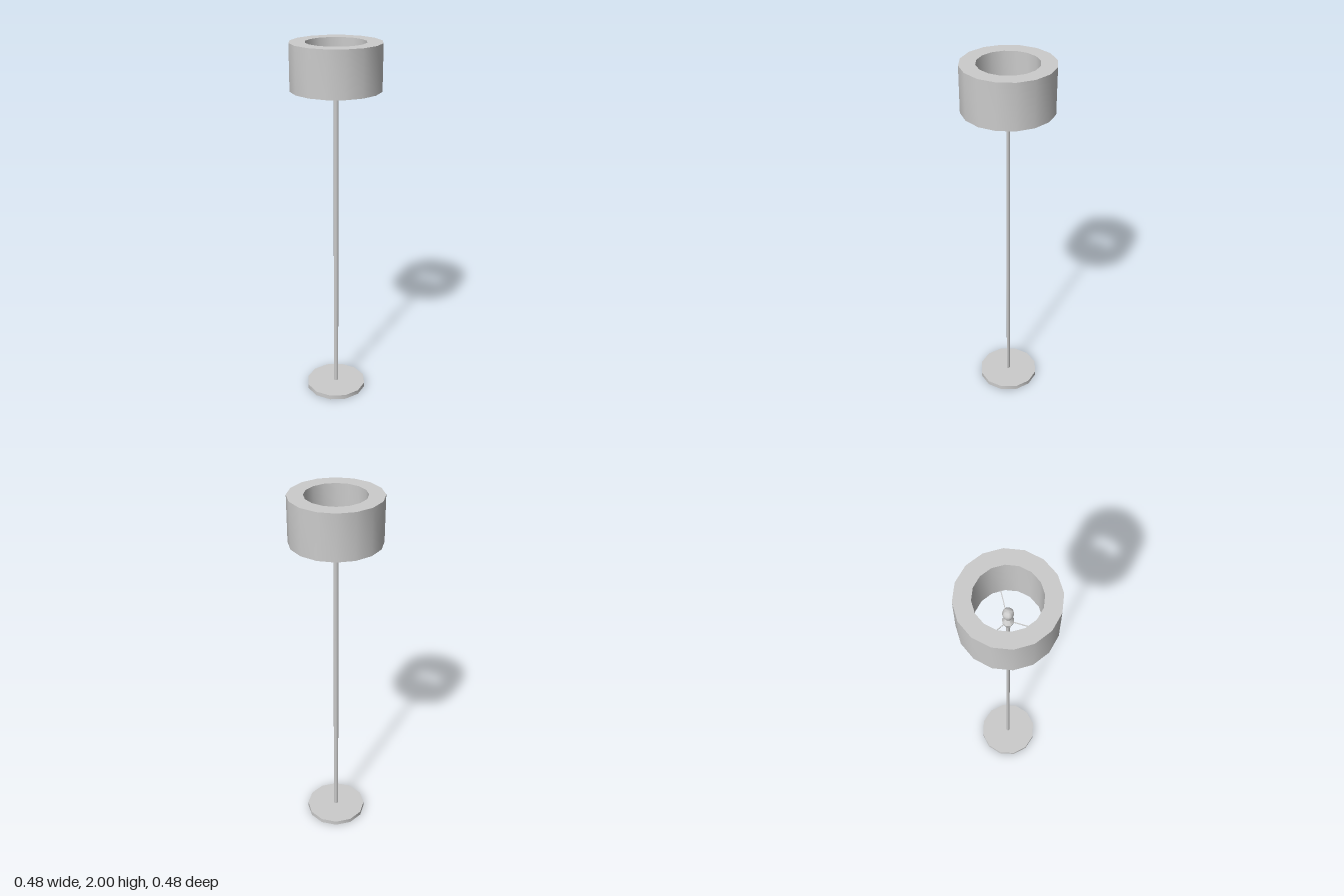
import * as THREE from 'three';
import { toCreasedNormals } from 'three/addons/utils/BufferGeometryUtils.js';

const material = new THREE.MeshStandardMaterial({ color: 0xcccccc });

function add(parent, name, geometry) {
  const mesh = new THREE.Mesh(geometry, material);
  mesh.name = name;
  parent.add(mesh);
  return mesh;
}

// Turned part from [radius, height] pairs, listed upwards on the outside
function turned(profile, sides, crease = 0.7) {
  const points = profile.map(([r, y]) => new THREE.Vector2(r, y));
  return toCreasedNormals(new THREE.LatheGeometry(points, sides), crease);
}

export function createModel() {
  const lamp = new THREE.Group();
  lamp.name = 'floorLamp';

  // Flat disc foot
  add(lamp, 'base', turned([[0, 0], [0.17, 0], [0.17, 0.025], [0, 0.025]], 12));

  // Slim pole, slightly flattened front to back
  const pole = add(lamp, 'pole', new THREE.CylinderGeometry(0.013, 0.013, 1.7, 8));
  pole.position.y = 0.875;
  pole.scale.z = 0.75;

  // Bulb holder: flares up from the pole, then narrows to the bulb neck
  add(lamp, 'socket', turned(
    [[0, 1.715], [0.015, 1.715], [0.027, 1.757], [0.029, 1.767], [0.014, 1.79], [0, 1.79]], 8));

  // Pear-shaped bulb
  add(lamp, 'bulb', turned(
    [[0.012, 1.785], [0.014, 1.8], [0.022, 1.82], [0.027, 1.84], [0.025, 1.853], [0.016, 1.864], [0, 1.868]], 16, 1.2));

  // Thick ring shade, open through the middle
  add(lamp, 'shade', turned(
    [[0.157, 1.76], [0.238, 1.76], [0.238, 2], [0.157, 2], [0.157, 1.76]], 16));

  // Three thin spokes holding the shade
  for (let i = 0; i < 3; i++) {
    const geometry = new THREE.BoxGeometry(0.004, 0.004, 0.14);
    geometry.translate(0, 1.766, 0.086);
    add(lamp, 'spoke' + (i + 1), geometry).rotation.y = (i * Math.PI * 2) / 3;
  }

  return lamp;
}
